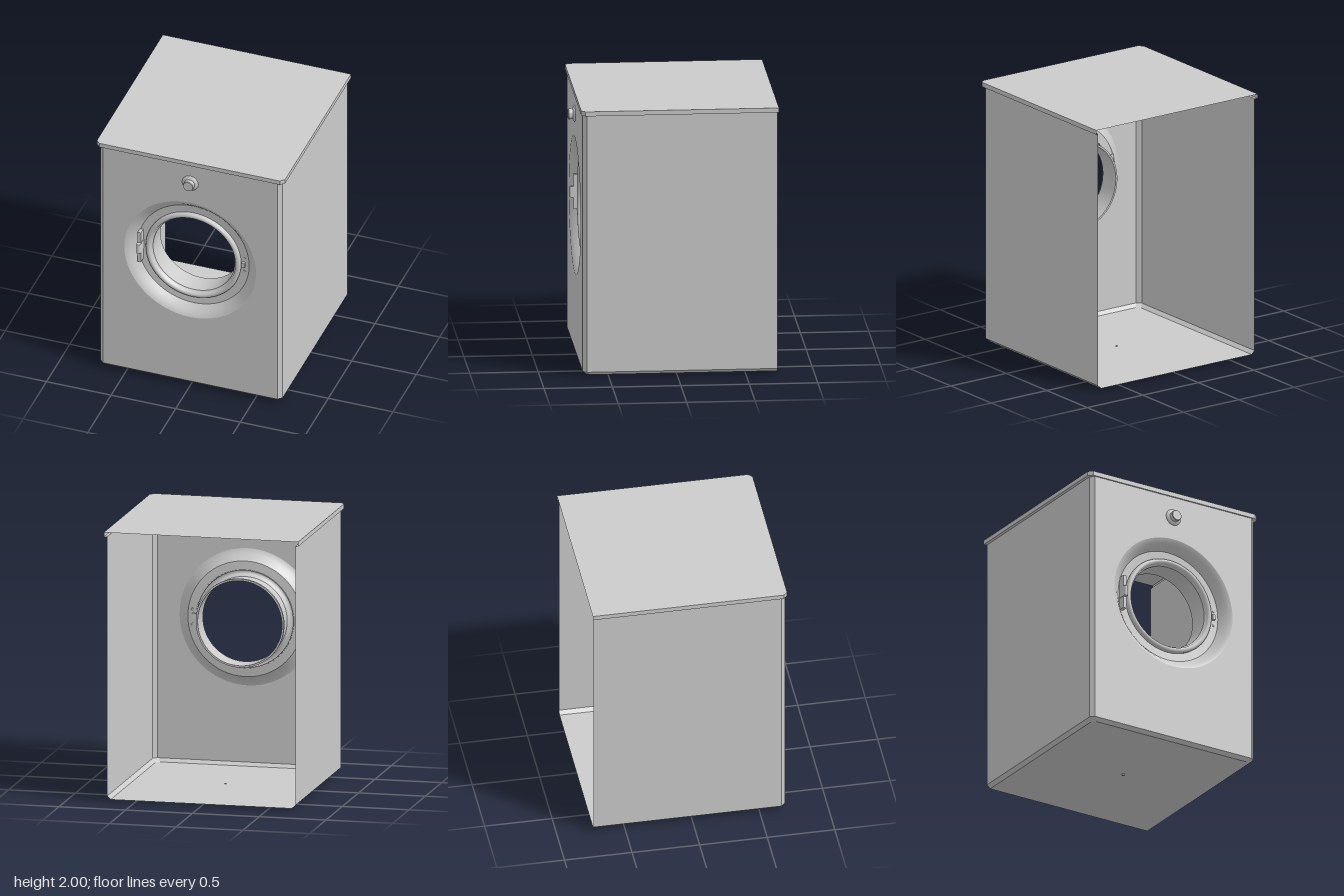
import * as THREE from 'three';
import { toCreasedNormals } from 'three/addons/utils/BufferGeometryUtils.js';

const mat = new THREE.MeshStandardMaterial({ color: 0xcccccc, side: THREE.DoubleSide });
const DOOR_Y = 1.12, FRONT = 0.69, DISH_R = 0.51;

function add(parent, name, geometry, x = 0, y = 0, z = 0) {
  const mesh = new THREE.Mesh(geometry, mat);
  mesh.name = name;
  mesh.position.set(x, y, z);
  parent.add(mesh);
  return mesh;
}

// Plan outline [x, z], open at the back, with chamfered front corners
function outline(w, front, back, c = 0.03) {
  return [[-w, back], [-w, front - c], [-w + c, front], [w - c, front], [w, front - c], [w, back]];
}

// Wall strips between two outlines; skip leaves one strip out
function band(lower, y0, upper, y1, skip = -1) {
  const pos = [];
  for (let i = 0; i < lower.length - 1; i++) {
    if (i === skip) continue;
    const a0 = [lower[i][0], y0, lower[i][1]], b0 = [lower[i + 1][0], y0, lower[i + 1][1]];
    const a1 = [upper[i][0], y1, upper[i][1]], b1 = [upper[i + 1][0], y1, upper[i + 1][1]];
    pos.push(...a0, ...b0, ...b1, ...a0, ...b1, ...a1);
  }
  const g = new THREE.BufferGeometry();
  g.setAttribute('position', new THREE.Float32BufferAttribute(pos, 3));
  g.computeVertexNormals();
  return g;
}

// Flat horizontal sheet from an outline, facing up (1) or down (-1)
function sheet(points, facing) {
  const shape = new THREE.Shape(points.map(([x, z]) => new THREE.Vector2(x, -facing * z)));
  return new THREE.ShapeGeometry(shape).rotateX(-facing * Math.PI / 2);
}

// Profile of [radius, z] turned around the z axis
function turned(profile, segments, crease = 0.6) {
  const g = new THREE.LatheGeometry(profile.map(([r, z]) => new THREE.Vector2(r, z)), segments);
  return toCreasedNormals(g.rotateX(Math.PI / 2), crease);
}

export function createModel() {
  const model = new THREE.Group();
  model.name = 'washingMachine';

  // Cabinet shell, open at the back
  const cabinet = new THREE.Group();
  cabinet.name = 'cabinet';
  model.add(cabinet);
  const body = outline(0.705, FRONT, -0.73);
  const foot = outline(0.678, FRONT - 0.027, -0.73);
  add(cabinet, 'sideWalls', band(body, 0.04, body, 1.967, 2));
  add(cabinet, 'bottomChamfer', band(foot, 0.015, body, 0.04));
  add(cabinet, 'floor', sheet(foot, -1), 0, 0.015, 0);

  // Front panel with the round door opening
  const panel = new THREE.Shape();
  panel.moveTo(-0.675, 0.04).lineTo(0.675, 0.04).lineTo(0.675, 1.967).lineTo(-0.675, 1.967);
  panel.holes.push(new THREE.Path().absarc(0, DOOR_Y, DISH_R, 0, Math.PI * 2, true));
  add(cabinet, 'frontPanel', new THREE.ShapeGeometry(panel, 32), 0, 0, FRONT);

  // Lid: a shallow tray open at the back, with a narrow flange below
  const lid = new THREE.Group();
  lid.name = 'lid';
  model.add(lid);
  const rim = outline(0.728, 0.702, -0.74);
  add(lid, 'lidTop', sheet(rim, 1), 0, 2, 0);
  add(lid, 'lidRim', band(rim, 1.966, rim, 2));
  add(lid, 'lidFlange', band(body, 1.966, rim, 1.966));

  // Door surround: recess, rounded ring and tunnel
  const door = new THREE.Group();
  door.name = 'doorSurround';
  door.position.y = DOOR_Y;
  model.add(door);
  add(door, 'recess', turned([
    [DISH_R, FRONT], [0.497, 0.684], [0.475, 0.667], [0.45, 0.64], [0.43, 0.616], [0.36, 0.61],
  ], 64));
  add(door, 'doorRing', turned([
    [0.366, 0.605], [0.368, 0.625], [0.362, 0.638], [0.35, 0.645], [0.338, 0.642],
    [0.329, 0.632], [0.326, 0.618], [0.316, 0.61],
  ], 64, 0.8));
  add(door, 'doorTunnel', turned([[0.316, 0.61], [0.316, 0.45], [0.33, 0.45], [0.33, 0.47]], 64));

  // Hinge: two leaves with a raised knuckle between them
  const hinge = new THREE.Group();
  hinge.name = 'hinge';
  hinge.position.set(-0.403, DOOR_Y, 0);
  model.add(hinge);
  for (const s of [-1, 1]) {
    add(hinge, 'hingeLeaf', new THREE.BoxGeometry(0.026, 0.09, 0.055), 0, s * 0.085, 0.637);
  }
  add(hinge, 'hingeKnuckle', new THREE.BoxGeometry(0.032, 0.08, 0.07), 0, 0, 0.645);
  add(hinge, 'hingePin', new THREE.CylinderGeometry(0.015, 0.015, 0.08, 16), 0, 0, 0.68);

  // Latch plate and its two screws
  const latch = new THREE.Group();
  latch.name = 'latch';
  latch.position.set(0.392, DOOR_Y, 0);
  model.add(latch);
  add(latch, 'latchCatch', new THREE.BoxGeometry(0.024, 0.038, 0.03), -0.005, 0.005, 0.62);
  for (const s of [-1, 1]) {
    add(latch, 'latchScrew', turned([[0.009, 0.605], [0.009, 0.618], [0, 0.622]], 12), 0.002, s * 0.055, 0);
  }

  // Control knob on a conical collar
  const knob = new THREE.Group();
  knob.name = 'controlKnob';
  knob.position.y = 1.805;
  model.add(knob);
  add(knob, 'knobCollar', turned([[0.063, FRONT], [0.06, 0.695], [0.042, 0.706], [0, 0.706]], 32));
  add(knob, 'knobGrip', turned([[0.04, 0.7], [0.04, 0.736], [0.037, 0.74], [0, 0.74]], 32));

  // Small drain stub under the floor
  add(model, 'drainStub', new THREE.CylinderGeometry(0.008, 0.008, 0.02, 12), 0, 0.01, 0.01);

  return model;
}
